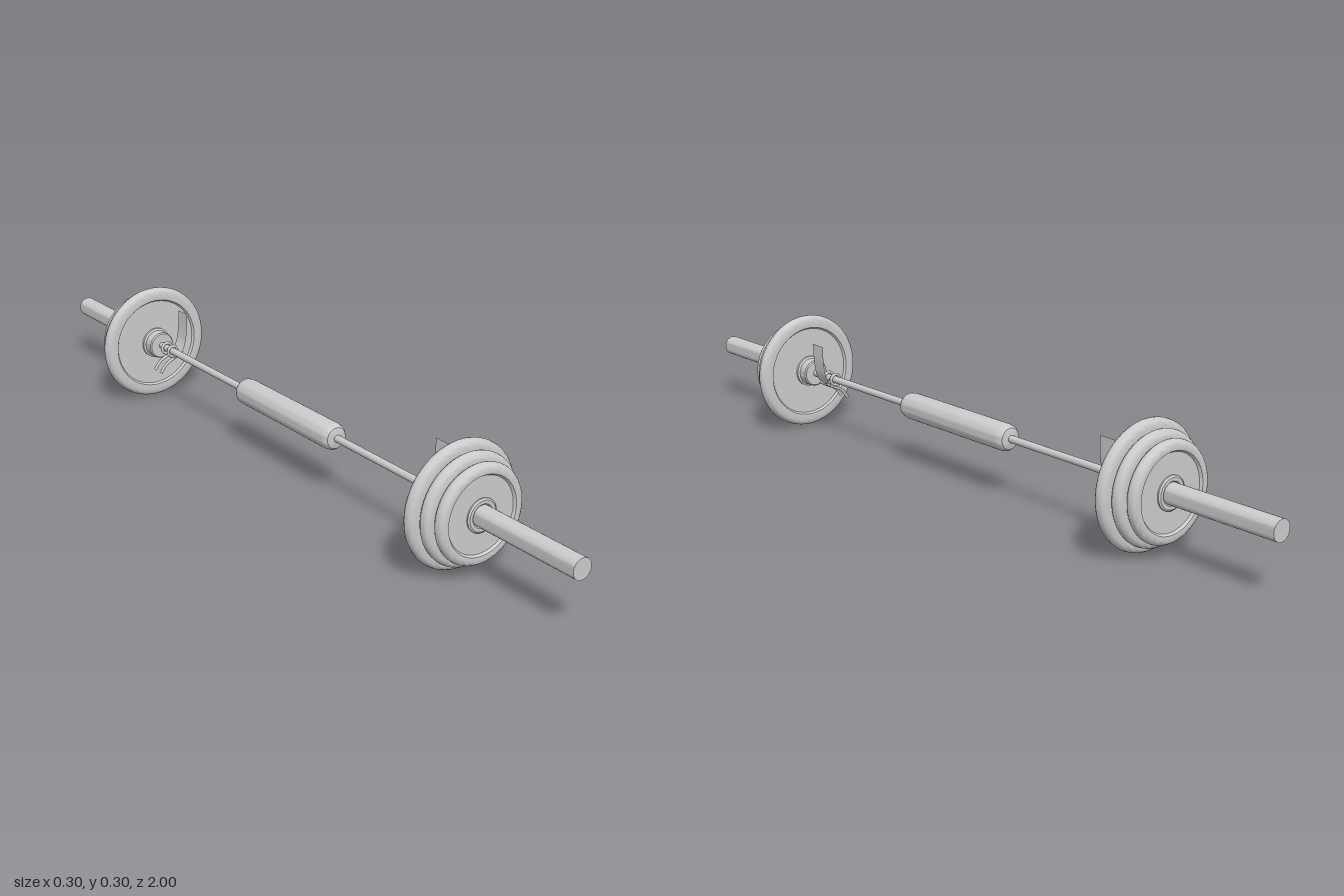
import * as THREE from 'three';
import { toCreasedNormals } from 'three/addons/utils/BufferGeometryUtils.js';

const AXIS_Y = 0.15;
const grey = new THREE.MeshStandardMaterial({ color: 0xcccccc });
const thin = new THREE.MeshStandardMaterial({ color: 0xcccccc, side: THREE.DoubleSide });

function add(parent, name, geometry, material = grey) {
  const mesh = new THREE.Mesh(geometry, material);
  mesh.name = name;
  parent.add(mesh);
  return mesh;
}

// Turned part along the z axis from [radius, z] pairs
function turned(points, segments = 64) {
  const geo = new THREE.LatheGeometry(points.map(([r, z]) => new THREE.Vector2(r, z)), segments);
  geo.rotateX(Math.PI / 2);
  return toCreasedNormals(geo, 0.6);
}

// Rounded half-circle edge running from z0 to z1 around radius R
function roundEdge(R, z0, z1, steps = 8) {
  const h = (z1 - z0) / 2;
  return Array.from({ length: steps + 1 }, (_, i) => {
    const a = -Math.PI / 2 + (Math.PI * i) / steps;
    return [R - h + h * Math.cos(a), (z0 + z1) / 2 + h * Math.sin(a)];
  });
}

// Disc with a fat rounded rim and a dished web on both faces
function plate(R, web, z0, z1) {
  const d = 0.007;
  return turned([
    [0.02, z0 + d], [web, z0 + d], [web + 0.004, z0 + 0.001],
    ...roundEdge(R, z0, z1),
    [web + 0.004, z1 - 0.001], [web, z1 - d], [0.02, z1 - d],
  ]);
}

// Loaded end of the bar, pointing along +z
function loadedEnd() {
  const end = new THREE.Group();
  add(end, 'sleeve', turned([[0, 0.59], [0.025, 0.59], [0.025, 1], [0, 1]], 32));
  add(end, 'collar', turned([
    [0, 0.59], [0.032, 0.59], [0.035, 0.593], [0.035, 0.615], [0.04, 0.618], [0.04, 0.635], [0, 0.635],
  ], 40));
  add(end, 'largePlate', plate(0.15, 0.115, 0.617, 0.648));
  add(end, 'mediumPlate', plate(0.132, 0.1, 0.648, 0.678));
  add(end, 'smallPlate', plate(0.117, 0.09, 0.678, 0.707));
  add(end, 'plateHub', turned([
    [0.025, 0.67], [0.04, 0.67], [0.04, 0.703], [0.036, 0.706], [0.028, 0.706], [0.025, 0.703],
  ], 40));
  return end;
}

// Spring clip around the rod: curved lever, coil and two wire prongs
function springClip() {
  const clip = new THREE.Group();
  const width = 0.043;
  const lever = new THREE.CatmullRomCurve3([
    [0.043, 0.096], [0.041, 0.05], [0.034, 0.012], [0.018, -0.012], [0, -0.018],
  ].map(([x, y]) => new THREE.Vector3(x, y, 0)));
  const n = 16;
  const strip = new THREE.PlaneGeometry(1, width, n, 1);
  const pos = strip.attributes.position;
  for (let i = 0; i < pos.count; i++) {
    const p = lever.getPoint(pos.getX(i) + 0.5);
    pos.setXYZ(i, p.x, p.y, pos.getY(i));
  }
  strip.computeVertexNormals();
  add(clip, 'clipLever', strip, thin);

  for (const side of [-1, 1]) {
    const z = side * 0.015;
    add(clip, 'clipCoil', new THREE.TorusGeometry(0.014, 0.004, 8, 24)).position.z = z;
    const path = new THREE.CatmullRomCurve3([
      new THREE.Vector3(0.03, -0.006, z),
      new THREE.Vector3(0.004, -0.02, z),
      new THREE.Vector3(-0.02, -0.032, z),
      new THREE.Vector3(-0.038, -0.054, z),
    ]);
    add(clip, 'clipProng', new THREE.TubeGeometry(path, 14, 0.004, 8));
  }
  return clip;
}

export function createModel() {
  const model = new THREE.Group();
  model.name = 'barbell';
  const bar = new THREE.Group();
  bar.name = 'bar';
  bar.position.y = AXIS_Y;
  model.add(bar);

  // Thin rod with a padded grip in the middle
  add(bar, 'rod', turned([[0, -0.6], [0.009, -0.6], [0.009, 0.6], [0, 0.6]], 24));
  add(bar, 'gripPad', turned([
    [0, -0.195], [0.016, -0.195], [0.026, -0.192], [0.031, -0.185], [0.033, -0.172],
    [0.033, 0.172], [0.031, 0.185], [0.026, 0.192], [0.016, 0.195], [0, 0.195],
  ], 40));

  // Both loaded ends
  for (const [name, angle] of [['frontEnd', 0], ['backEnd', Math.PI]]) {
    const end = loadedEnd();
    end.name = name;
    end.rotation.y = angle;
    bar.add(end);
  }

  // Both clips open the same way
  for (const [name, z] of [['frontClip', 0.518], ['backClip', -0.551]]) {
    const clip = springClip();
    clip.name = name;
    clip.position.z = z;
    bar.add(clip);
  }
  return model;
}
